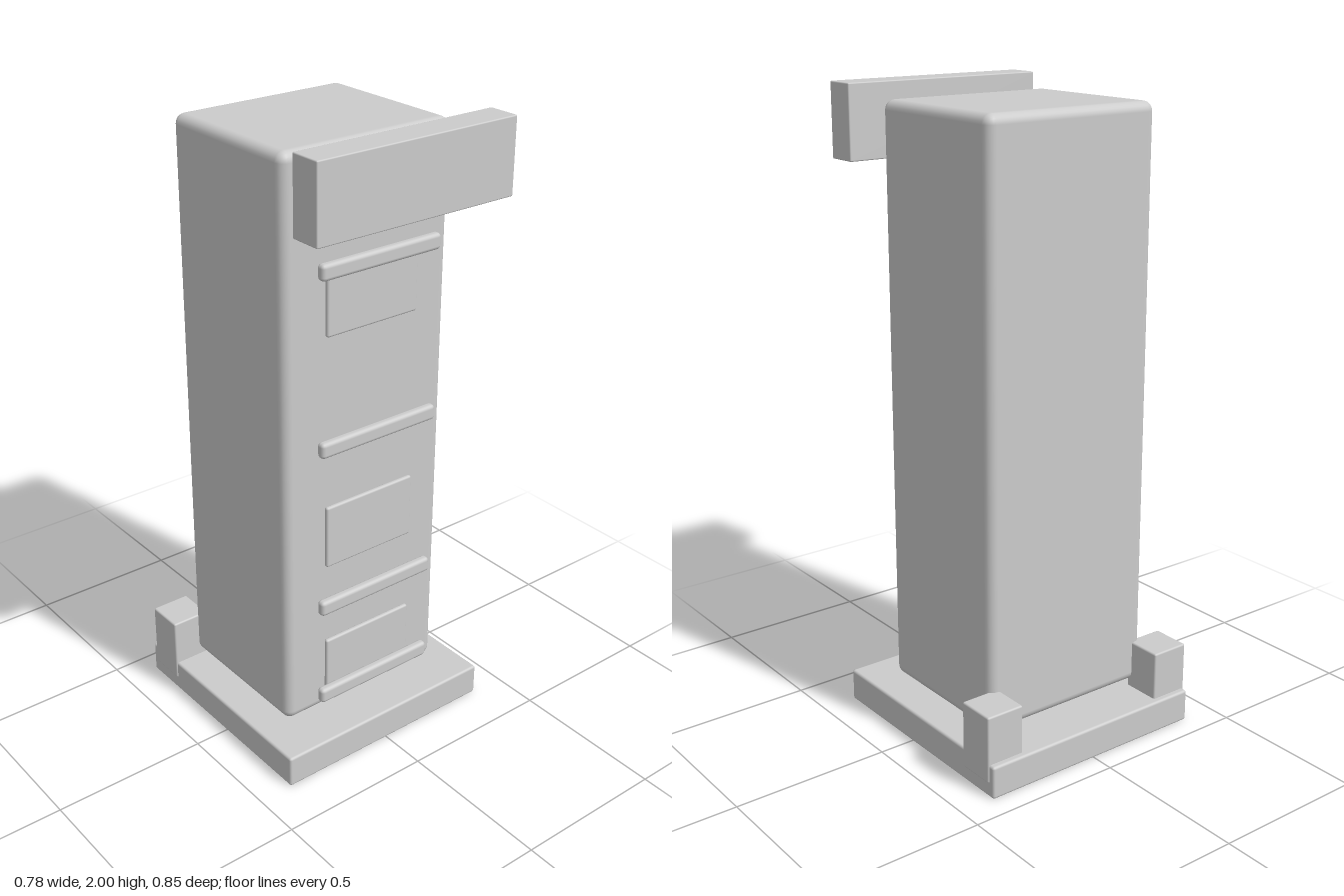
import * as THREE from 'three';
import { RoundedBoxGeometry } from 'three/addons/geometries/RoundedBoxGeometry.js';

const grey = new THREE.MeshStandardMaterial({ color: 0xcccccc });
grey.name = 'light grey';

// Rounded block given by its extents on each axis
function block(name, [x0, x1], [y0, y1], [z0, z1], radius, segments = 2) {
  const geometry = new RoundedBoxGeometry(x1 - x0, y1 - y0, z1 - z0, segments, radius);
  const mesh = new THREE.Mesh(geometry, grey);
  mesh.name = name;
  mesh.position.set((x0 + x1) / 2, (y0 + y1) / 2, (z0 + z1) / 2);
  return mesh;
}

export function createModel() {
  const model = new THREE.Group();
  model.name = 'cabinet';

  // Base slab and tall cabinet body
  model.add(block('base', [-0.388, 0.388], [0.005, 0.105], [-0.427, 0.348], 0.008));
  model.add(block('body', [-0.301, 0.301], [0.125, 1.96], [-0.298, 0.219], 0.03, 3));

  // Header sign floating in front of the top
  model.add(block('headerSign', [-0.345, 0.345], [1.77, 2], [0.325, 0.427], 0.004));

  // Rear feet, mirrored
  for (const side of [-1, 1]) {
    const xs = side > 0 ? [0.264, 0.392] : [-0.392, -0.264];
    model.add(block(side > 0 ? 'leftRearFoot' : 'rightRearFoot', xs, [0.045, 0.26], [-0.407, -0.28], 0.006));
  }

  // Thin front panels
  const panels = new THREE.Group();
  panels.name = 'frontPanels';
  for (const [y0, y1] of [[0.18, 0.39], [0.658, 0.865], [1.414, 1.62]]) {
    panels.add(block('frontPanel', [-0.165, 0.165], [y0, y1], [0.229, 0.245], 0.007));
  }
  model.add(panels);

  // Horizontal front bars
  const bars = new THREE.Group();
  bars.name = 'frontBars';
  for (const y of [0.22, 0.545, 1.085, 1.628]) {
    bars.add(block('frontBar', [-0.215, 0.215], [y - 0.025, y + 0.025], [0.257, 0.287], 0.012));
  }
  model.add(bars);

  // Stand on the ground
  model.position.y = 0;
  model.getObjectByName('base').position.y = 0.0525;
  model.getObjectByName('base').scale.y = 1.05;
  return model;
}
